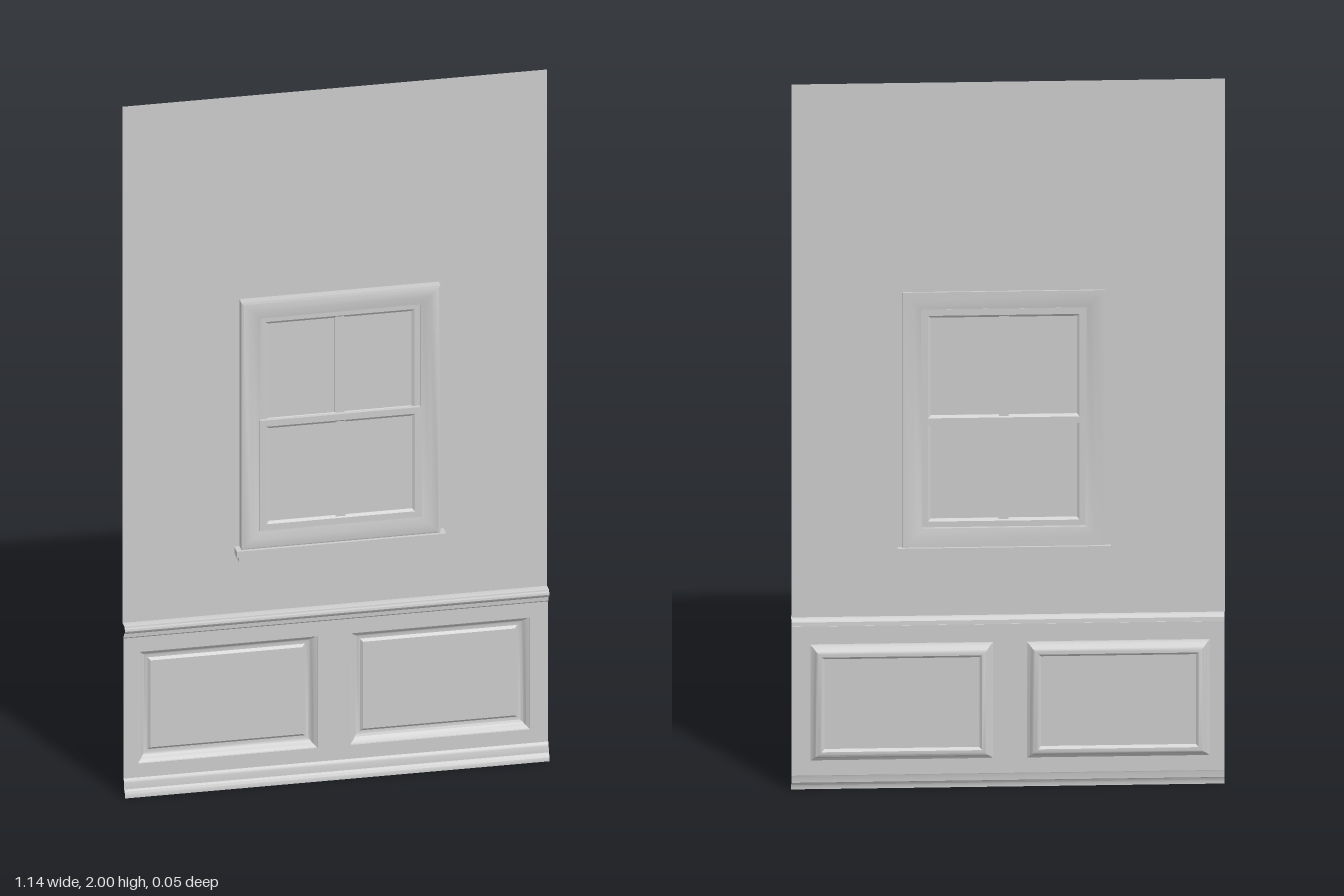
import * as THREE from 'three';
import { toCreasedNormals } from 'three/addons/utils/BufferGeometryUtils.js';

const material = new THREE.MeshStandardMaterial({ color: 0xcccccc, side: THREE.DoubleSide });
const HALF = 0.57; // half width of the wall

function add(parent, name, geometry, z = 0) {
  const mesh = new THREE.Mesh(geometry, material);
  mesh.name = name;
  mesh.position.z = z;
  parent.add(mesh);
  return mesh;
}

// Rectangle outline [x0, y0, x1, y1] as a path
function rectPath(path, [x0, y0, x1, y1]) {
  path.moveTo(x0, y0).lineTo(x1, y0).lineTo(x1, y1).lineTo(x0, y1).lineTo(x0, y0);
  return path;
}

// Flat wall sheet with rectangular openings
function sheet(rect, holes = []) {
  const shape = rectPath(new THREE.Shape(), rect);
  shape.holes = holes.map((h) => rectPath(new THREE.Path(), h));
  return new THREE.ShapeGeometry(shape);
}

// Mitred moulding round a rectangle; profile points are [inset, z]
function mitredFrame([x0, y0, x1, y1], profile) {
  const positions = [];
  const index = [];
  for (const [i, z] of profile) {
    positions.push(x0 + i, y0 + i, z, x1 - i, y0 + i, z, x1 - i, y1 - i, z, x0 + i, y1 - i, z);
  }
  for (let r = 0; r < profile.length - 1; r++) {
    for (let c = 0; c < 4; c++) {
      const a = r * 4 + c, b = r * 4 + (c + 1) % 4;
      index.push(a, b, b + 4, a, b + 4, a + 4);
    }
  }
  const geometry = new THREE.BufferGeometry();
  geometry.setAttribute('position', new THREE.Float32BufferAttribute(positions, 3));
  geometry.setIndex(index);
  return toCreasedNormals(geometry, 0.6);
}

// Open-ended moulding strip along x; profile points are [z, y]
function strip(profile) {
  const positions = [];
  const index = [];
  profile.forEach(([z, y], k) => {
    positions.push(-HALF, y, z, HALF, y, z);
    if (k) index.push(2 * k - 2, 2 * k, 2 * k + 1, 2 * k - 2, 2 * k + 1, 2 * k - 1);
  });
  const geometry = new THREE.BufferGeometry();
  geometry.setAttribute('position', new THREE.Float32BufferAttribute(positions, 3));
  geometry.setIndex(index);
  return toCreasedNormals(geometry, 0.6);
}

function box(parent, name, [x0, y0, x1, y1], depth, z) {
  const mesh = add(parent, name, new THREE.BoxGeometry(x1 - x0, y1 - y0, depth), z);
  mesh.position.x = (x0 + x1) / 2;
  mesh.position.y = (y0 + y1) / 2;
}

// One sash: mitred frame, centre muntin and glass
function sash(parent, name, rect, z) {
  const group = new THREE.Group();
  group.name = name;
  group.position.z = z;
  parent.add(group);
  add(group, 'sashFrame', mitredFrame(rect, [
    [0, -0.006], [0, 0.006], [0.018, 0.006], [0.025, 0.001],
    [0.025, -0.001], [0.018, -0.006], [0, -0.006],
  ]));
  const [x0, y0, x1, y1] = rect;
  const mid = (x0 + x1) / 2;
  box(group, 'muntin', [mid - 0.013, y0 + 0.02, mid + 0.013, y1 - 0.02], 0.007, 0);
  add(group, 'glass', sheet([x0 + 0.02, y0 + 0.02, x1 - 0.02, y1 - 0.02]));
}

export function createModel() {
  const model = new THREE.Group();
  model.name = 'wallWithWindow';

  // Upper wall, open behind the window casing
  const casing = [-0.256, 0.69, 0.279, 1.41];
  add(model, 'upperWall', sheet([-HALF, 0.497, HALF, 2], [[-0.215, 0.73, 0.238, 1.37]]), -0.011);

  // Wainscot with two recessed panels
  const panels = [[-0.53, 0.09, -0.05, 0.415], [0.04, 0.09, 0.52, 0.415]];
  add(model, 'wainscotWall', sheet([-HALF, 0.045, HALF, 0.465], panels), 0.003);
  for (const rect of panels) {
    const panel = new THREE.Group();
    panel.name = 'recessedPanel';
    model.add(panel);
    add(panel, 'panelMoulding', mitredFrame(rect, [
      [0, 0.003], [0, -0.003], [0.008, -0.007], [0.014, -0.016],
      [0.02, -0.02], [0.029, -0.02], [0.036, -0.014],
    ]));
    const [x0, y0, x1, y1] = rect;
    add(panel, 'panelFace', sheet([x0 + 0.036, y0 + 0.036, x1 - 0.036, y1 - 0.036]), -0.014);
  }

  // Chair rail and baseboard
  add(model, 'chairRail', strip([
    [0.003, 0.458], [0.009, 0.463], [0.01, 0.474], [0.017, 0.479],
    [0.02, 0.485], [0.019, 0.491], [0.014, 0.493], [0.013, 0.497], [-0.011, 0.497],
  ]));
  add(model, 'baseboard', strip([
    [0.003, 0.05], [0.008, 0.046], [0.01, 0.04], [0.011, 0.022],
    [0.017, 0.018], [0.02, 0.012], [0.02, 0],
  ]));

  // Window casing
  const frame = new THREE.Group();
  frame.name = 'window';
  model.add(frame);
  add(frame, 'casing', mitredFrame(casing, [
    [0, -0.016], [0, 0.013], [0.006, 0.016], [0.028, 0.016], [0.044, 0.012], [0.052, 0.01],
    [0.052, -0.01], [0.044, -0.012], [0.028, -0.016], [0, -0.016],
  ]));

  // Sliding sashes, the lower one in front
  sash(frame, 'upperSash', [-0.206, 1.035, 0.229, 1.36], -0.005);
  sash(frame, 'lowerSash', [-0.206, 0.74, 0.229, 1.06], 0.005);

  // Sill with a narrower apron below
  box(frame, 'sill', [-0.27, 0.673, 0.292, 0.691], 0.046, 0);
  box(frame, 'sillApron', [-0.264, 0.66, 0.286, 0.673], 0.038, 0);

  return model;
}
